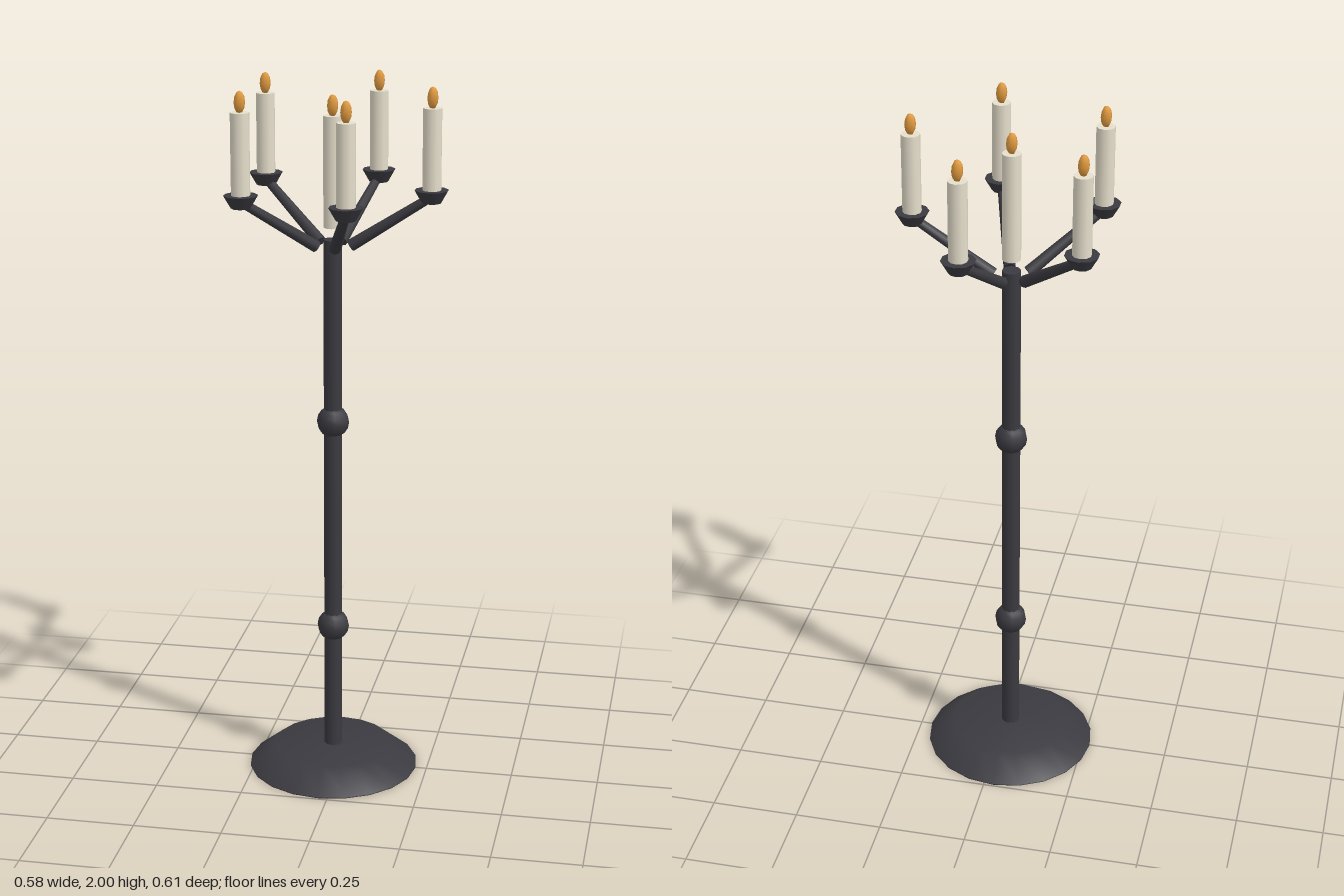
import * as THREE from 'three';

const iron = new THREE.MeshStandardMaterial({ color: 0x3a3a40 });
const wax = new THREE.MeshStandardMaterial({ color: 0xe6dfcc });
const fire = new THREE.MeshStandardMaterial({ color: 0xe09a40 });

const AXIS_X = -0.027; // the stand sits slightly off centre
const ARM_REACH = 0.272;

function add(parent, name, geometry, material, x = 0, y = 0, z = 0) {
  const mesh = new THREE.Mesh(geometry, material);
  mesh.name = name;
  mesh.position.set(x, y, z);
  parent.add(mesh);
  return mesh;
}

// Wax cylinder with a pointed-oval flame, its top at local y = 0
function makeCandle(height) {
  const candle = new THREE.Group();
  candle.name = 'candle';
  add(candle, 'wax', new THREE.CylinderGeometry(0.026, 0.026, height, 10), wax, 0, -height / 2);
  const flame = add(candle, 'flame', new THREE.SphereGeometry(0.016, 6, 6), fire, 0, 0.027);
  flame.scale.y = 1.9;
  flame.rotation.y = Math.PI / 2;
  return candle;
}

// Tapered rod between two points
function addRod(parent, name, from, to, rFrom, rTo) {
  const dir = to.clone().sub(from);
  const rod = add(parent, name, new THREE.CylinderGeometry(rTo, rFrom, dir.length(), 8), iron);
  rod.position.copy(from).add(to).multiplyScalar(0.5);
  rod.quaternion.setFromUnitVectors(new THREE.Vector3(0, 1, 0), dir.normalize());
}

export function createModel() {
  const model = new THREE.Group();
  model.name = 'candelabra';
  const stand = new THREE.Group();
  stand.name = 'stand';
  stand.position.x = AXIS_X;
  model.add(stand);

  // Base: a low sloped disc with softened shading
  const profile = [[0, 0], [0.245, 0], [0.245, 0.003], [0.17, 0.063], [0, 0.063]]
    .map(([r, y]) => new THREE.Vector2(r, y));
  add(stand, 'base', new THREE.LatheGeometry(profile, 20), iron);

  // Pole with two knobs
  add(stand, 'pole', new THREE.CylinderGeometry(0.026, 0.026, 1.525, 10), iron, 0, 0.8125);
  for (const y of [0.435, 1.052]) {
    add(stand, 'knob', new THREE.SphereGeometry(0.046, 10, 8), iron, 0, y);
  }

  // Centre candle, hovering just above the pole
  const centre = makeCandle(0.307);
  centre.position.y = 1.916;
  stand.add(centre);

  // Five arms, each with a cup and a candle
  for (let i = 0; i < 5; i++) {
    const a = (i / 5) * Math.PI * 2;
    const at = (r, y) => new THREE.Vector3(r * Math.cos(a), y, r * Math.sin(a));
    addRod(stand, 'arm', at(0.05, 1.56), at(ARM_REACH - 0.006, 1.7), 0.017, 0.0125);
    const tip = at(ARM_REACH, 1.705);
    add(stand, 'cup', new THREE.CylinderGeometry(0.047, 0.027, 0.035, 10), iron, tip.x, tip.y, tip.z);
    const candle = makeCandle(0.245);
    candle.position.copy(at(ARM_REACH, 1.945));
    stand.add(candle);
  }
  return model;
}
